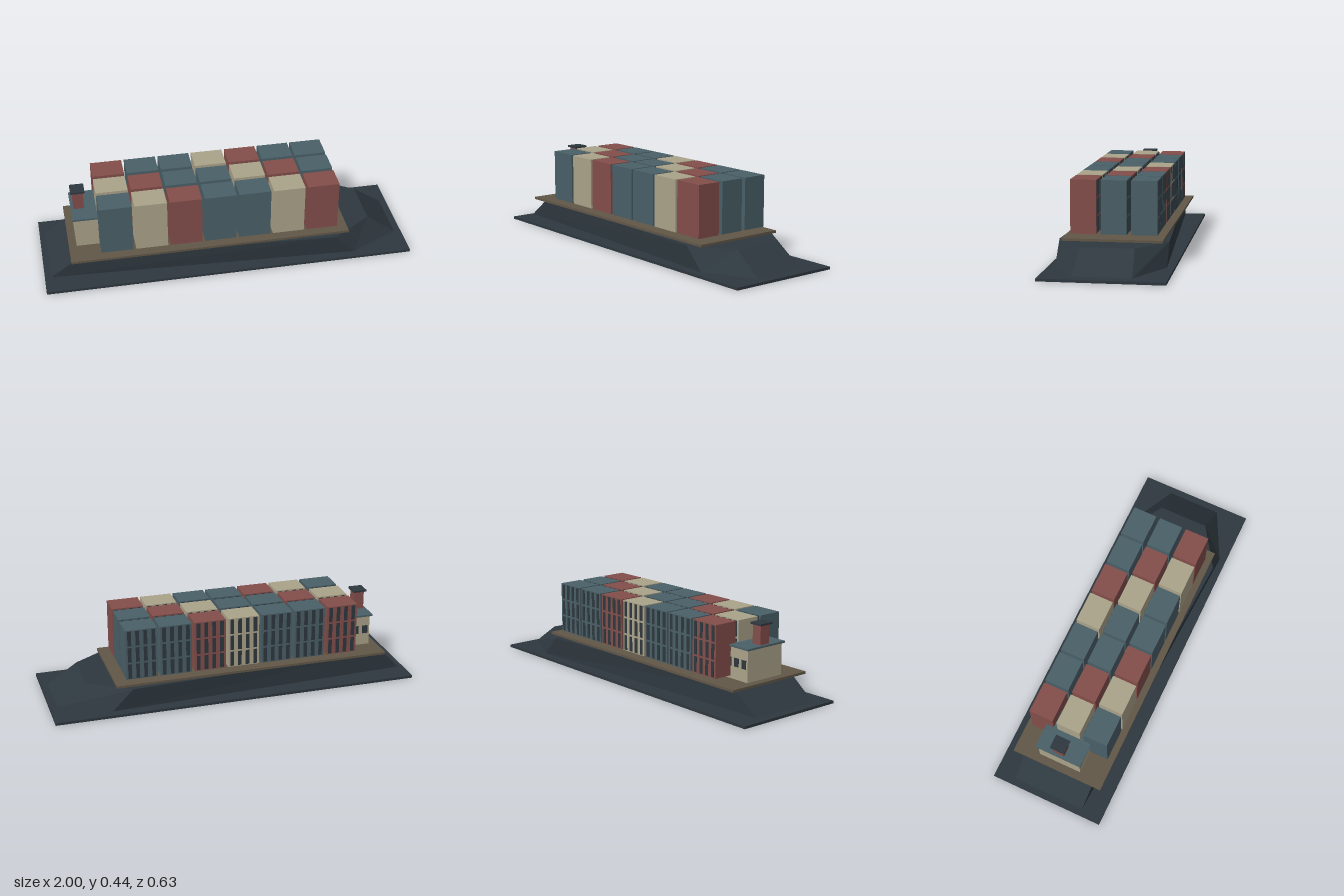
import * as THREE from 'three';

const mat = (name, color) => {
  const m = new THREE.MeshStandardMaterial({ color });
  m.name = name;
  return m;
};

// Box given by its min/max extents on each axis
function slab(name, material, [x0, x1], [y0, y1], [z0, z1]) {
  const mesh = new THREE.Mesh(new THREE.BoxGeometry(x1 - x0, y1 - y0, z1 - z0), material);
  mesh.position.set((x0 + x1) / 2, (y0 + y1) / 2, (z0 + z1) / 2);
  mesh.name = name;
  return mesh;
}

// Closed solid between two matching outlines, faceted
function loft(bottom, top, y0, y1) {
  const pos = [];
  const lo = bottom.map(([x, z]) => [x, y0, z]);
  const hi = top.map(([x, z]) => [x, y1, z]);
  const tri = (a, b, c) => pos.push(...a, ...b, ...c);
  const n = lo.length;
  for (let i = 0; i < n; i++) {
    const j = (i + 1) % n;
    tri(lo[i], lo[j], hi[j]);
    tri(lo[i], hi[j], hi[i]);
    if (i > 0 && i < n - 1) {
      tri(hi[0], hi[i], hi[j]);
      tri(lo[0], lo[j], lo[i]);
    }
  }
  const g = new THREE.BufferGeometry();
  g.setAttribute('position', new THREE.Float32BufferAttribute(pos, 3));
  g.computeVertexNormals();
  return g;
}

// Half outline on +z mirrored to -z
const mirrored = (half) => [
  ...half,
  ...half.slice().reverse().map(([x, z]) => [x, -z]),
];

// Grid of thin dark panels on a back face
function backPanels(name, material, { x0, x1, z, cols, width, rows, height }) {
  const group = new THREE.Group();
  group.name = name;
  const pitch = (x1 - x0) / cols;
  for (const y of rows) {
    for (let c = 0; c < cols; c++) {
      const x = x0 + (c + 0.5) * pitch;
      group.add(slab('panel', material, [x - width / 2, x + width / 2],
        [y - height / 2, y + height / 2], [z - 0.002, z + 0.001]));
    }
  }
  return group;
}

export function createModel() {
  const root = new THREE.Group();
  root.name = 'containerShip';
  const dark = mat('dark hull', 0x2e383f);
  const wood = mat('deck brown', 0x625748);
  const teal = mat('teal', 0x4a6068);
  const cream = mat('cream', 0xaba38a);
  const red = mat('brick red', 0x834e4a);

  // Base plate, hull and deck
  root.add(slab('basePlate', dark, [-1, 1], [0, 0.014], [-0.317, 0.317]));
  const hull = new THREE.Mesh(loft(
    mirrored([[-0.965, 0.2], [0.69, 0.283], [0.96, 0.148]]),
    mirrored([[-0.81, 0.205], [0.58, 0.283], [0.8, 0.137]]),
    0.021, 0.134), dark);
  hull.name = 'hull';
  root.add(hull);
  root.add(slab('deck', wood, [-0.855, 0.66], [0.137, 0.15], [-0.258, 0.258]));

  // Cabin with roof, windows and funnel
  const bridge = new THREE.Group();
  bridge.name = 'bridge';
  bridge.add(
    slab('cabin', cream, [-0.813, -0.6], [0.15, 0.319], [-0.12, 0.12]),
    slab('cabinRoof', teal, [-0.825, -0.588], [0.319, 0.329], [-0.131, 0.131]),
    backPanels('cabinWindows', dark, {
      x0: -0.813, x1: -0.6, z: -0.12, cols: 4, width: 0.032, rows: [0.24], height: 0.046,
    }),
    slab('funnel', red, [-0.81, -0.754], [0.329, 0.431], [-0.03, 0.03]),
    slab('funnelCap', dark, [-0.821, -0.745], [0.431, 0.441], [-0.04, 0.04]));
  root.add(bridge);

  // Containers: three rows of seven, one letter per colour
  const colours = { r: red, t: teal, c: cream };
  ['rttcrtt', 'crttcrt', 'tcrttcr'].forEach((row, r) => {
    const z = (r - 1) * 0.156;
    [...row].forEach((key, i) => {
      const x = -0.604 + i * 0.1865;
      const container = new THREE.Group();
      container.name = 'container';
      container.add(
        slab('containerBody', colours[key], [x - 0.086, x + 0.086], [0.164, 0.442], [z - 0.067, z + 0.067]),
        backPanels('containerPanels', dark, {
          x0: x - 0.086, x1: x + 0.086, z: z - 0.067, cols: 4, width: 0.02,
          rows: [0.21, 0.303, 0.396], height: 0.082,
        }));
      root.add(container);
    });
  });

  return root;
}
